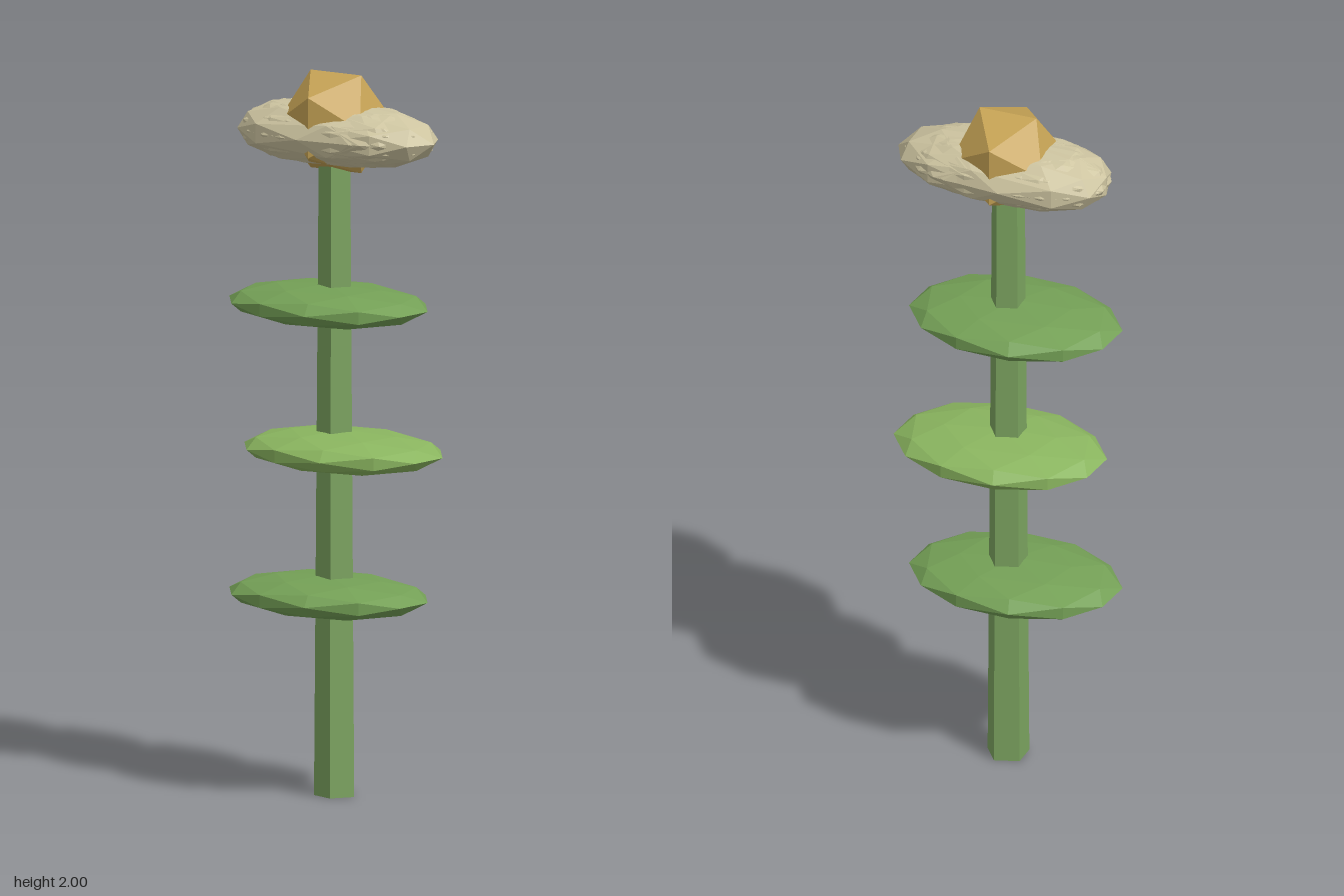
import * as THREE from 'three';

const CX = -0.005; // axis of the stem

function mat(color) {
  return new THREE.MeshStandardMaterial({ color, flatShading: true });
}

function add(group, name, geometry, material, x, y, z = 0) {
  const mesh = new THREE.Mesh(geometry, material);
  mesh.name = name;
  mesh.position.set(x, y, z);
  group.add(mesh);
  return mesh;
}

// Unit faceted ball, turned about y before it is stretched
function turnedBall(angle) {
  return new THREE.IcosahedronGeometry(1, 1).rotateY(angle);
}

// One layer of the petal ruff: long in x, blunt on the right end, tapering on the left
function petalLayer(angle, size) {
  const geometry = turnedBall(angle);
  const p = geometry.attributes.position;
  for (let i = 0; i < p.count; i++) {
    const x = p.getX(i);
    const full = Math.sign(x) * Math.pow(Math.abs(x), x < 0 ? 0.65 : 0.85);
    p.setXYZ(i, full * 0.3 * size, p.getY(i) * 0.088, p.getZ(i) * 0.146 * size);
  }
  geometry.computeVertexNormals();
  return geometry;
}

export function createModel() {
  const model = new THREE.Group();
  model.name = 'flower';

  // Five-sided stem with a corner towards +x
  const stem = new THREE.CylinderGeometry(0.047, 0.06, 1.8, 5).rotateY(Math.PI / 2);
  add(model, 'stem', stem, mat(0x7ba35f), CX, 0.9);

  // Three flat leaf discs, alternately turned half round
  const leafColors = [0x74a056, 0x8ab55f, 0x74a056];
  leafColors.forEach((color, i) => {
    const side = i % 2 ? 1 : -1;
    const leaf = turnedBall(0.21 + (side < 0 ? Math.PI : 0)).scale(0.303, 0.057, 0.215);
    add(model, 'leaf' + (i + 1), leaf, mat(color), CX + 0.02 * side, 0.553 + 0.403 * i, -0.007 * side);
  });

  // Ruff of overlapping petal layers that poke through each other
  const petals = new THREE.Group();
  petals.name = 'petals';
  const petalMaterial = mat(0xcdc4a0);
  const layers = 9;
  for (let i = 0; i < layers; i++) {
    const a = (i / layers) * Math.PI * 2;
    const size = 0.97 + 0.03 * (i % 3 === 0 ? 1 : 0);
    add(petals, 'petalLayer' + (i + 1), petalLayer(a, size), petalMaterial,
      0.003 + 0.015 * Math.cos(a), 1.832, 0.006 * Math.sin(a));
  }
  model.add(petals);

  // Faceted flower centre
  add(model, 'flowerCentre', new THREE.IcosahedronGeometry(0.159, 0), mat(0xc6a355), CX, 1.865);

  return model;
}
